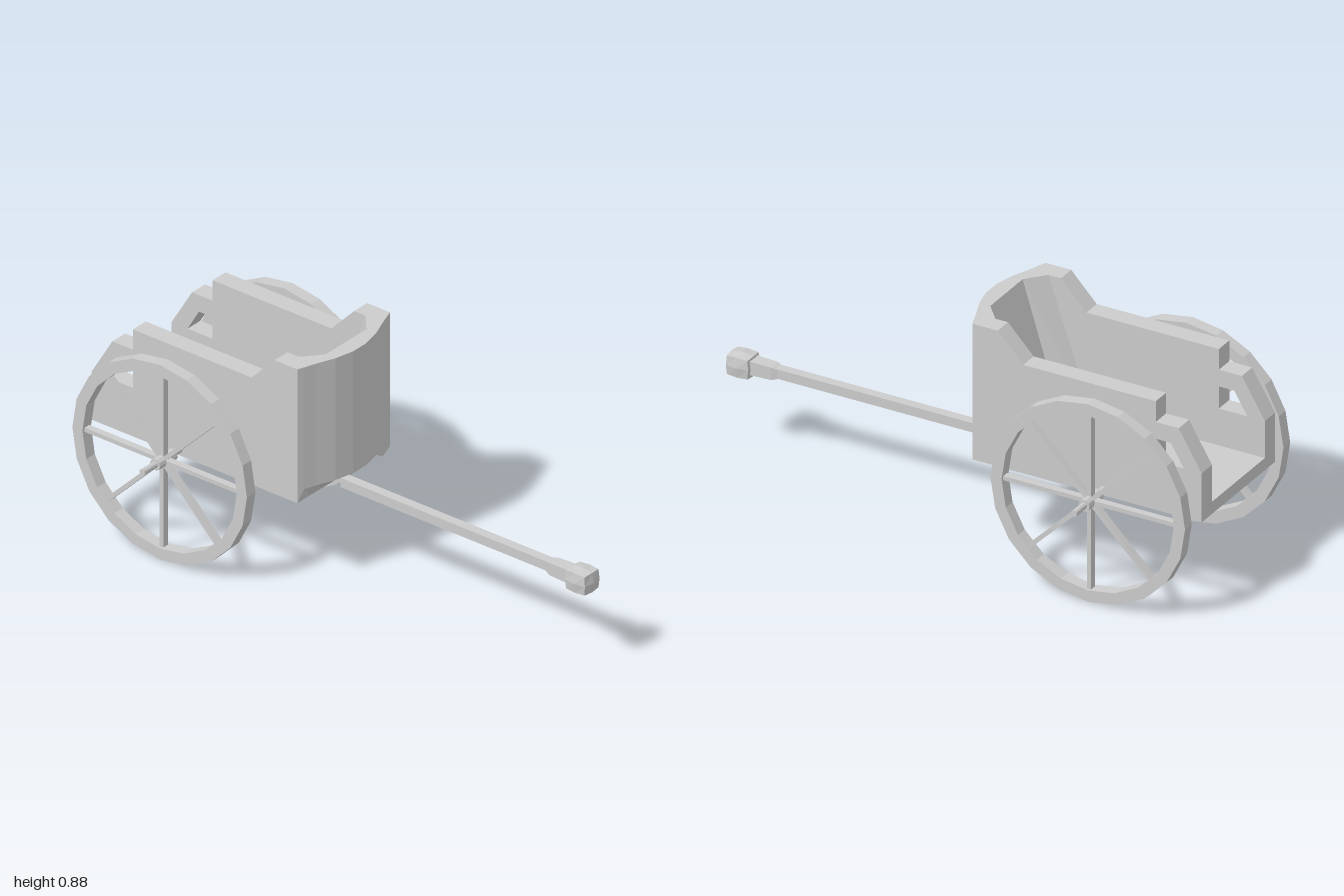
import * as THREE from 'three';

const mat = new THREE.MeshStandardMaterial({ color: 0xcccccc, flatShading: true, side: THREE.DoubleSide });

function add(parent, name, geometry, x = 0, y = 0, z = 0) {
  const mesh = new THREE.Mesh(geometry, mat);
  mesh.name = name;
  mesh.position.set(x, y, z);
  parent.add(mesh);
  return mesh;
}

const points = list => list.map(([x, y]) => new THREE.Vector2(x, y));

// Extrudes a profile drawn as (distance backwards, height) along x
function extrudeX(shape, width) {
  return new THREE.ExtrudeGeometry(shape, { depth: width, bevelEnabled: false }).rotateY(Math.PI / 2);
}

// Joins equal cross-sections (closed loops of points) into a skin
function loft(sections) {
  const n = sections[0].length;
  const index = [];
  for (let i = 0; i < sections.length - 1; i++) {
    for (let j = 0; j < n; j++) {
      const a = i * n + j, b = i * n + (j + 1) % n;
      index.push(a, a + n, b, b, a + n, b + n);
    }
  }
  const geo = new THREE.BufferGeometry();
  geo.setAttribute('position', new THREE.Float32BufferAttribute(sections.flat(2), 3));
  geo.setIndex(index);
  const flat = geo.toNonIndexed();
  flat.computeVertexNormals();
  return flat;
}

function ringPoints(radius, count) {
  return Array.from({ length: count }, (_, i) => {
    const a = (i / count) * Math.PI * 2;
    return new THREE.Vector2(radius * Math.cos(a), radius * Math.sin(a));
  });
}

function makeWheel() {
  const wheel = new THREE.Group();
  // Twenty-sided rim
  const rim = new THREE.Shape(ringPoints(0.382, 20));
  rim.holes.push(new THREE.Path(ringPoints(0.338, 20)));
  add(wheel, 'rim', extrudeX(rim, 0.046), -0.023);
  // Four bars across make eight spokes
  for (let i = 0; i < 4; i++) {
    add(wheel, 'spoke', new THREE.BoxGeometry(0.026, 0.69, 0.016)).rotation.x = (i * Math.PI) / 4;
  }
  add(wheel, 'hub', new THREE.CylinderGeometry(0.022, 0.022, 0.096, 10).rotateZ(Math.PI / 2));
  return wheel;
}

export function createModel() {
  const chariot = new THREE.Group();
  chariot.name = 'chariot';

  // Side walls with a grip opening at the back
  const side = new THREE.Shape(points([
    [0.1, 0.36], [1, 0.36], [1, 0.55], [0.91, 0.7], [0.82, 0.7],
    [0.82, 0.78], [0.3, 0.78], [0.2, 0.885], [0.1, 0.885],
  ]));
  side.holes.push(new THREE.Path(points([[0.82, 0.55], [0.93, 0.55], [0.88, 0.635], [0.82, 0.635]])));
  add(chariot, 'leftWall', extrudeX(side, 0.07), 0.18);
  add(chariot, 'rightWall', extrudeX(side, 0.07), -0.25);

  // Floor
  add(chariot, 'floor', new THREE.BoxGeometry(0.36, 0.047, 0.9), 0, 0.3835, -0.55);

  // Curved front wall: x, outer z, inner z at top, inner z at floor, lower edge
  const columns = [
    [-0.25, -0.1, -0.1, -0.1, 0.36],
    [-0.225, -0.09, -0.12, -0.2, 0.407],
    [-0.18, -0.075, -0.15, -0.32, 0.407],
    [-0.11, -0.047, -0.09, -0.24, 0.407],
    [-0.035, -0.03, -0.09, -0.24, 0.407],
    [0.035, -0.03, -0.09, -0.24, 0.407],
    [0.11, -0.047, -0.09, -0.24, 0.407],
    [0.18, -0.075, -0.15, -0.32, 0.36],
    [0.25, -0.1, -0.1, -0.1, 0.36],
  ];
  add(chariot, 'frontWall', loft(columns.map(([x, outer, top, bottom, edge]) => [
    [x, edge, outer], [x, 0.885, outer], [x, 0.885, top], [x, 0.4, bottom], [x, 0.36, -0.1],
  ])));

  // Axle and wheels
  add(chariot, 'axle', new THREE.CylinderGeometry(0.012, 0.012, 0.904, 10).rotateZ(Math.PI / 2), 0, 0.384, -0.615);
  for (const s of [1, -1]) {
    const wheel = makeWheel();
    wheel.name = s > 0 ? 'leftWheel' : 'rightWheel';
    wheel.position.set(s * 0.335, 0.382, -0.615);
    chariot.add(wheel);
  }

  // Draught pole with its mounting tongue
  add(chariot, 'pole', new THREE.BoxGeometry(0.036, 0.036, 0.92), 0, 0.337, 0.36);
  add(chariot, 'poleTongue', new THREE.BoxGeometry(0.036, 0.02, 0.09), 0, 0.345, -0.13);

  // Flared collar at the pole tip
  const square = (r, z) => [[-r, 0.335 - r, z], [r, 0.335 - r, z], [r, 0.335 + r, z], [-r, 0.335 + r, z]];
  add(chariot, 'collar', loft([square(0.018, 0.8), square(0.024, 0.82), square(0.026, 0.9), square(0.034, 0.925)]));

  // Knob: a cube whose points are pulled part way to a sphere
  const knob = new THREE.BoxGeometry(2, 2, 2, 2, 2, 2);
  const pos = knob.attributes.position;
  const v = new THREE.Vector3();
  for (let i = 0; i < pos.count; i++) {
    v.fromBufferAttribute(pos, i);
    v.lerp(v.clone().normalize(), 0.45);
    pos.setXYZ(i, v.x * 0.046, v.y * 0.044, v.z * 0.05);
  }
  knob.computeVertexNormals();
  add(chariot, 'knob', knob, 0, 0.332, 0.945);

  return chariot;
}
